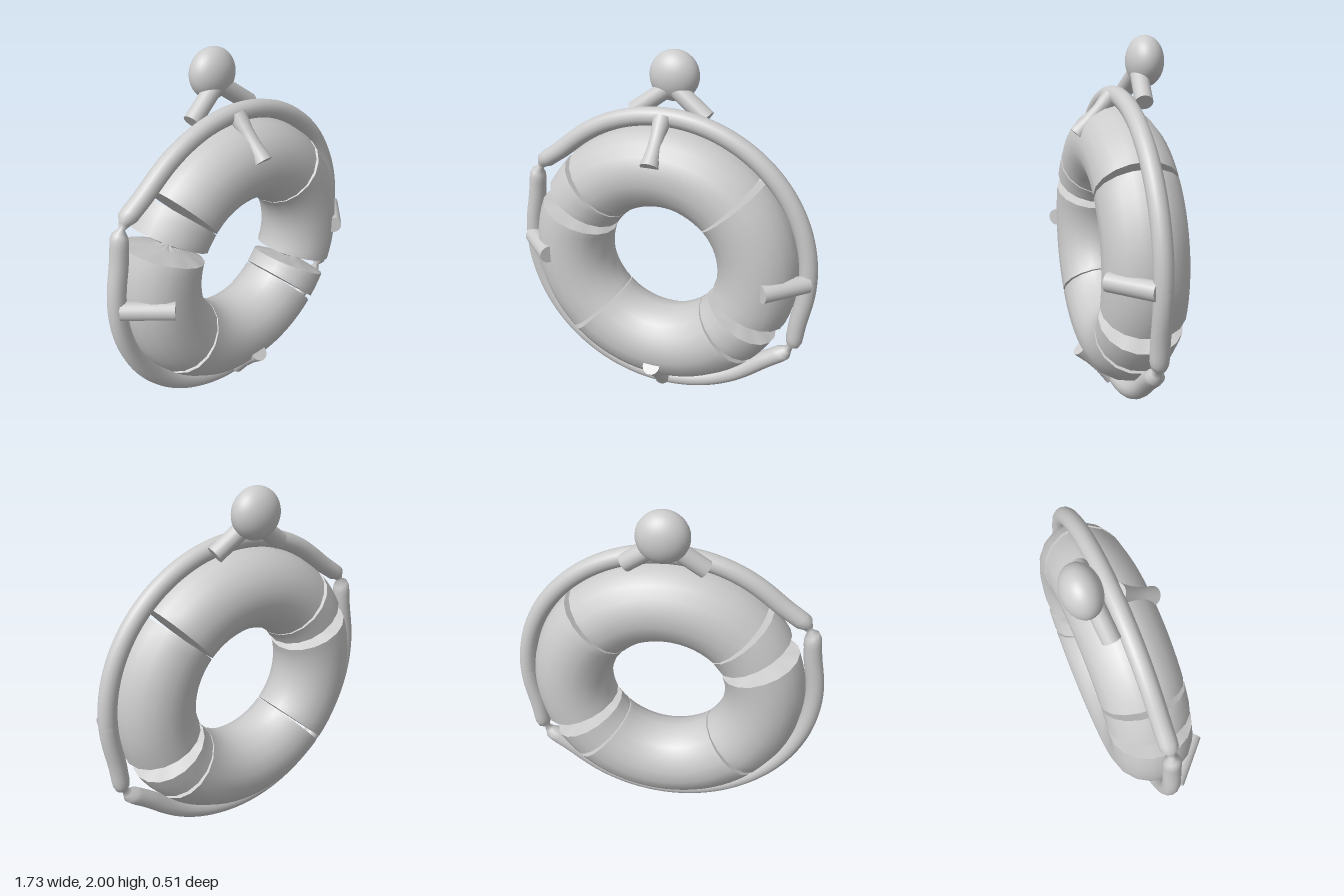
import * as THREE from 'three';

const CY = 0.87, R = 0.545, TUBE = 0.222, SIDES = 18;
const rad = THREE.MathUtils.degToRad;

// Skin a list of closed rings, each an array of Vector3
function skin(rings) {
  const n = rings[0].length, pos = [], idx = [];
  rings.forEach(ring => ring.forEach(p => pos.push(p.x, p.y, p.z)));
  for (let i = 0; i < rings.length - 1; i++) {
    for (let j = 0; j < n; j++) {
      const k = (j + 1) % n, a = i * n + j, b = i * n + k;
      idx.push(a, a + n, b, b, a + n, b + n);
    }
  }
  const g = new THREE.BufferGeometry();
  g.setAttribute('position', new THREE.Float32BufferAttribute(pos, 3));
  g.setIndex(idx);
  g.computeVertexNormals();
  return g;
}

// Circle around a point of the big ring; angleAt may lean the section by radius
function section(angleAt, centre, tube, sides = SIDES) {
  return Array.from({ length: sides }, (_, j) => {
    const phi = j / sides * Math.PI * 2, r = centre + tube * Math.cos(phi);
    const a = angleAt(r);
    return new THREE.Vector3(r * Math.cos(a), CY + r * Math.sin(a), tube * Math.sin(phi));
  });
}

export function createModel() {
  const model = new THREE.Group();
  const grey = new THREE.MeshStandardMaterial({ color: 0xcccccc, side: THREE.DoubleSide });
  grey.name = 'light grey';
  const add = (name, geometry, parent = model) => {
    const mesh = new THREE.Mesh(geometry, grey);
    mesh.name = name;
    parent.add(mesh);
    return mesh;
  };

  // One float section; an end is either a thin tapering slit or a torn pinch
  function floatSection(name, from, to, pinchFrom, pinchTo) {
    const group = new THREE.Group();
    group.name = name;
    model.add(group);
    const slit = r => 0.018 * (r - 0.3) / 0.46;
    const startAt = r => rad(from) + (pinchFrom === undefined ? slit(r) : 0);
    const endAt = r => rad(to) - (pinchTo === undefined ? slit(r) : 0);
    const steps = Math.max(3, Math.round((to - from) / 5));
    const rings = [];
    for (let i = 0; i <= steps; i++) {
      const t = i / steps;
      rings.push(section(r => startAt(r) * (1 - t) + endAt(r) * t, R, TUBE));
    }
    add('floatShell', skin(rings), group);
    // End faces, drawn to a shared point where the ring is torn
    [[rings[0], startAt, pinchFrom], [rings[steps], endAt, pinchTo]].forEach(([rim, at, pinch], e) => {
      const torn = pinch !== undefined;
      const a = torn ? rad(pinch) : at(R), r = torn ? 0.52 : R;
      const apex = new THREE.Vector3(r * Math.cos(a), CY + r * Math.sin(a), 0);
      const mid = rim.map((p, j) => {
        const q = p.clone().lerp(apex, torn ? 0.6 : 0.5);
        if (torn) q.addScaledVector(new THREE.Vector3(-Math.sin(a), Math.cos(a), 0), (j % 2 ? 0.008 : -0.008));
        return q;
      });
      const cap = [rim, mid, rim.map(() => apex)];
      add('floatEnd', skin(e ? cap : cap.reverse()), group);
    });
  }
  floatSection('topFloat', 45.5, 134.5);
  floatSection('bottomFloat', 225.5, 314.5);
  for (const turn of [0, 180]) {
    const side = turn ? 'left' : 'right';
    // the short torn piece and the long piece beside it
    floatSection(side + 'ShortFloat', 135.5 + turn, 149.5 + turn, undefined, 153.5 + turn);
    floatSection(side + 'LongFloat', 158.3 + turn, 224.5 + turn, 153.5 + turn, undefined);
  }

  // Grab rope, squeezed and pushed outwards at two opposite points
  const ropeRings = [];
  for (let i = 0; i <= 180; i++) {
    const a = i / 180 * Math.PI * 2;
    const off = Math.abs(((a - rad(149.5)) % Math.PI + Math.PI * 1.5) % Math.PI - Math.PI / 2);
    const centre = 0.816 + 0.05 * Math.exp(-((off / 0.16) ** 2));
    const tube = 0.05 * (1 - 0.72 * Math.exp(-((off / 0.035) ** 2)));
    ropeRings.push(section(() => a, centre, tube, 14));
  }
  add('grabRope', skin(ropeRings));

  // Cylinder-like strap between two points, with an optional waist
  function rod(name, a, b, radius, waist = radius) {
    const length = a.distanceTo(b);
    const profile = [[0, 0], [radius, 0], [radius, 0], [waist, length * 0.35], [waist, length * 0.65],
      [radius, length], [radius, length], [0, length]].map(p => new THREE.Vector2(...p));
    const mesh = add(name, new THREE.LatheGeometry(profile, 18));
    mesh.position.copy(a);
    mesh.quaternion.setFromUnitVectors(new THREE.Vector3(0, 1, 0), b.clone().sub(a).normalize());
  }

  // Four straps tying the rope to the front of the ring
  ['leftStrap', 'topStrap', 'rightStrap', 'bottomStrap'].forEach((name, i) => {
    const c = Math.round(Math.cos(i * Math.PI / 2)), s = Math.round(Math.sin(i * Math.PI / 2));
    const at = (r, z) => new THREE.Vector3(c * r, CY + s * r, z);
    rod(name, at(0.815, 0.025), at(0.615, 0.215), 0.05, i % 2 ? 0.038 : 0.05);
  });

  // Rear ball with two splayed legs
  const ball = add('ball', new THREE.SphereGeometry(0.136, 32, 24));
  ball.position.set(0, 1.864, -0.157);
  ball.scale.z = 0.74;
  for (const s of [-1, 1]) {
    rod(s > 0 ? 'leftLeg' : 'rightLeg', new THREE.Vector3(s * 0.015, 1.81, -0.12),
      new THREE.Vector3(s * 0.205, 1.67, -0.092), 0.048);
  }
  return model;
}
